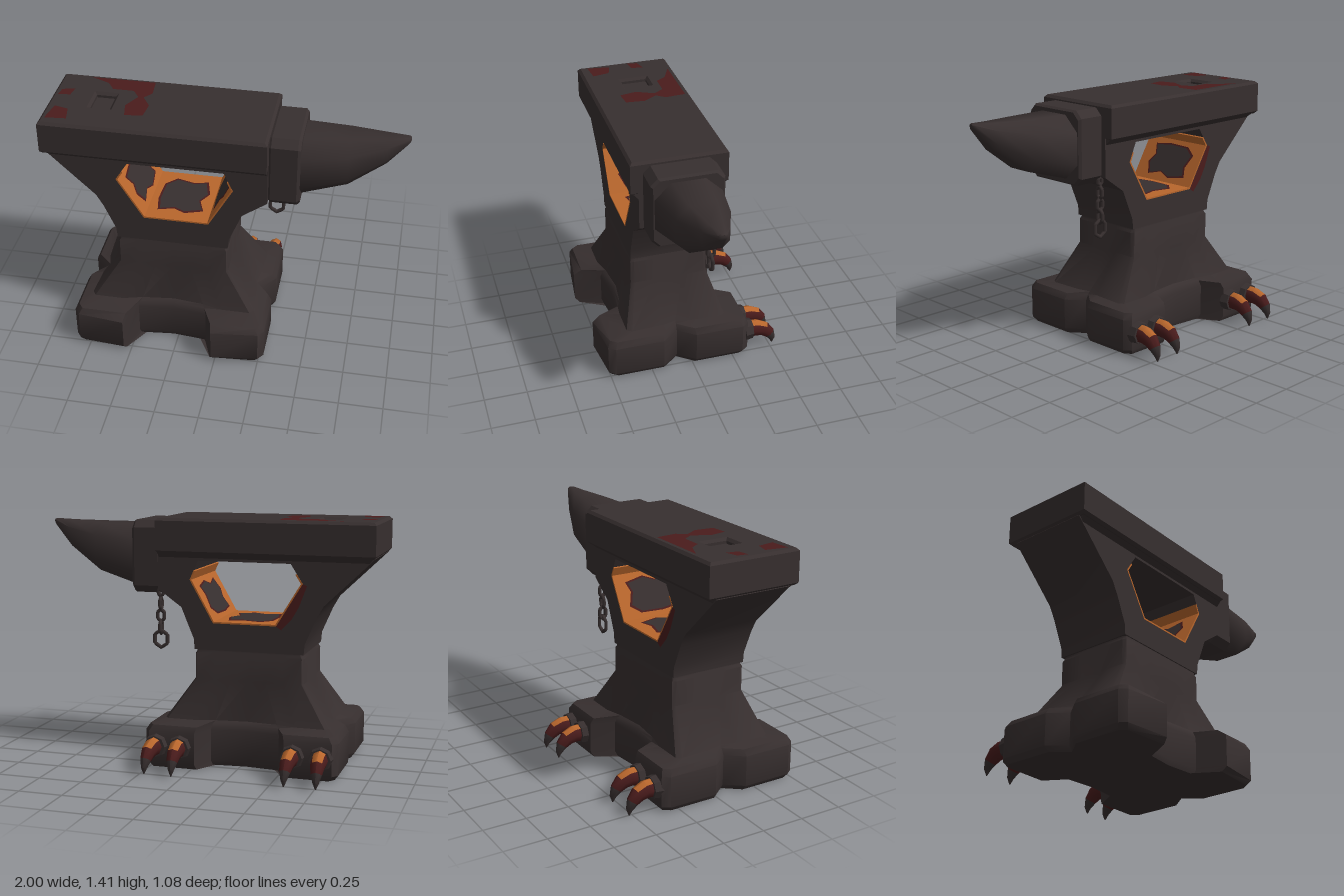
import * as THREE from 'three';
import { toCreasedNormals } from 'three/addons/utils/BufferGeometryUtils.js';

const mat = (name, color) => {
  const m = new THREE.MeshStandardMaterial({ color, side: THREE.DoubleSide });
  m.name = name;
  return m;
};
const V = (x, y, z) => new THREE.Vector3(x, y, z);

// Skin a list of equal-length rings, with both ends closed.
// pick(ringIndex, pointIndex) returns the material index of a quad.
function loft(rings, crease = 0.6, pick = () => 0) {
  const n = rings[0].length;
  const pos = rings.flat().flatMap(p => [p.x, p.y, p.z]);
  const buckets = [[], [], []];
  for (let i = 0; i < rings.length - 1; i++) {
    for (let j = 0; j < n; j++) {
      const k = (j + 1) % n, a = i * n + j, b = i * n + k;
      buckets[pick(i, j)].push(a, b, b + n, a, b + n, a + n);
    }
  }
  for (const end of [0, rings.length - 1]) {
    const c = V(0, 0, 0);
    rings[end].forEach(p => c.addScaledVector(p, 1 / n));
    const ci = pos.length / 3;
    pos.push(c.x, c.y, c.z);
    for (let j = 0; j < n; j++) {
      const a = end * n + j, b = end * n + (j + 1) % n;
      buckets[pick(Math.min(end, rings.length - 2), j)].push(ci, ...(end ? [a, b] : [b, a]));
    }
  }
  const g = new THREE.BufferGeometry();
  g.setAttribute('position', new THREE.Float32BufferAttribute(pos, 3));
  g.setIndex(buckets.flat());
  let start = 0;
  buckets.forEach((b, m) => {
    if (b.length) g.addGroup(start, b.length, m);
    start += b.length;
  });
  return toCreasedNormals(g, crease);
}

const shapeOf = pts => new THREE.Shape(pts.map(p => new THREE.Vector2(p[0], p[1])));
// Flat plate lying in the ground plane, outline given as (x, z)
const plate = pts => new THREE.ShapeGeometry(shapeOf(pts.map(([x, z]) => [x, -z]))).rotateX(-Math.PI / 2);

export function createModel() {
  const root = new THREE.Group();
  const iron = mat('dark iron', 0x372f2f);
  const stain = mat('dried red', 0x4a1c1c);
  const glow = mat('ember orange', 0xb8662c);
  const add = (name, geo, material, parent = root) => {
    const m = new THREE.Mesh(geo, material);
    m.name = name;
    parent.add(m);
    return m;
  };
  const CX = -0.28, CZ = 0.08;

  // Four-footed base: one quadrant outline mirrored, morphing up to a rectangle
  const foot = [[0.48, 0], [0.56, 0.1], [0.56, 0.39], [0.53, 0.43], [0.26, 0.43], [0.2, 0.3], [0, 0.28]];
  const shoulder = [[0.45, 0], [0.47, 0.08], [0.48, 0.27], [0.46, 0.3], [0.29, 0.3], [0.18, 0.27], [0, 0.25]];
  const neck = [[0.32, 0], [0.32, 0.08], [0.32, 0.21], [0.31, 0.23], [0.2, 0.23], [0.1, 0.23], [0, 0.23]];
  const planRing = (q, y, s = 1, spur = 0) => {
    const flip = (sx, st, list) => list.map(([x, t]) => [x * sx, t * st, x === 0.26 && st < 0 ? spur : 0]);
    const back = [...q].reverse();
    return [...flip(1, 1, q), ...flip(-1, 1, back.slice(1)), ...flip(-1, -1, q.slice(1)),
      ...flip(1, -1, back.slice(1, -1))].map(([x, t, e]) => V(CX + x * s, y, CZ - t * s + e));
  };
  add('footedBase', loft([
    planRing(foot, 0, 0.96, 0.02), planRing(foot, 0.03, 1, 0.03), planRing(foot, 0.21, 1, 0.03),
    planRing(foot, 0.245, 0.96), planRing(shoulder, 0.26), planRing(neck, 0.49),
    planRing(neck, 0.635), planRing(neck, 0.65, 0.97), planRing(neck, 0.67, 0.97),
  ], 0.7), iron);

  // Waist with a hexagonal window through it
  const hole = [[-0.52, 1.17], [-0.59, 1.06], [-0.44, 0.815], [-0.07, 0.815], [0.07, 1.06], [0.02, 1.17]];
  const waist = shapeOf([[-0.99, 1.21], [-0.71, 0.94], [-0.67, 0.87], [-0.605, 0.72], [-0.6, 0.66], [0.04, 0.66],
    [0.045, 0.72], [0.12, 0.9], [0.26, 1.0], [0.26, 1.23], [-0.98, 1.23]]);
  waist.holes.push(new THREE.Path(hole.map(p => new THREE.Vector2(...p))));
  const waistGeo = new THREE.ExtrudeGeometry(waist, { depth: 0.46, bevelEnabled: false });
  add('waist', toCreasedNormals(waistGeo.translate(0, 0, -0.15), 0.5), iron);

  // Glowing lining of the window, with cooled patches
  const blob = (w, d, s) => [[-0.4, -0.25], [-0.22, -0.4], [0.1, -0.33], [0.33, -0.38], [0.42, -0.1], [0.3, 0.08],
    [0.4, 0.3], [0.1, 0.38], [-0.1, 0.3], [-0.36, 0.36], [-0.42, 0.1]].map(([x, z]) => [x * w * s, z * d * s]);
  const upperEdge = (a, b) => [a[0] + (b[0] - a[0]) * 0.5, a[1] + (b[1] - a[1]) * 0.5];
  [[upperEdge(hole[0], hole[1]), hole[1], false], [hole[1], hole[2], true], [hole[2], hole[3], true],
    [hole[3], hole[4], true], [hole[4], upperEdge(hole[4], hole[5]), false]].forEach(([a, b, patched]) => {
    const len = Math.hypot(b[0] - a[0], b[1] - a[1]);
    const wall = new THREE.Group();
    wall.name = 'windowLining';
    wall.position.set((a[0] + b[0]) / 2, (a[1] + b[1]) / 2, CZ);
    wall.rotation.z = Math.atan2(b[1] - a[1], b[0] - a[0]);
    add('emberLining', new THREE.BoxGeometry(len, 0.009, 0.462).translate(0, 0.0045, 0), glow, wall);
    if (patched) {
      add('patchRim', plate(blob(len, 0.46, 0.92)).translate(0, 0.0105, 0), stain, wall);
      add('cooledPatch', plate(blob(len, 0.46, 0.84)).translate(0, 0.0125, 0), iron, wall);
    }
    root.add(wall);
  });
  const scorch = shapeOf([[-0.44, 0.815], [-0.59, 1.06], [-0.615, 1.05], [-0.57, 0.93], [-0.53, 0.86], [-0.47, 0.795]]);
  add('windowStain', new THREE.ShapeGeometry(scorch).translate(0, 0, -0.153), stain);

  // Face block with a square socket, and a tapered strip beneath it
  const rect = (x0, x1, z0, z1) => [[x0, z0], [x1, z0], [x1, z1], [x0, z1]];
  const bev = 0.015;
  const face = shapeOf(rect(-1 + bev, 0.26 - bev, -0.355 + bev, 0.2 - bev));
  face.holes.push(new THREE.Path(rect(-0.775, -0.635, -0.155, 0.025).map(p => new THREE.Vector2(...p))));
  const faceGeo = new THREE.ExtrudeGeometry(face, {
    depth: 0.2 - 2 * bev, bevelSize: bev, bevelThickness: bev, bevelSegments: 1,
  });
  add('faceBlock', faceGeo.rotateX(-Math.PI / 2).translate(0, 1.21 + bev, 0), iron);
  add('socketFloor', new THREE.BoxGeometry(0.2, 0.02, 0.24).translate(-0.705, 1.37, 0.065), iron);
  const level = (y, x0, x1, z0, z1) => [V(x0, y, z1), V(x1, y, z1), V(x1, y, z0), V(x0, y, z0)];
  add('blockTaper', loft([level(1.185, -0.96, 0.255, -0.15, 0.31), level(1.225, -0.99, 0.255, -0.19, 0.345)]), iron);

  // Stains on the face
  [
    [[-0.83, -0.17], [-0.46, -0.17], [-0.45, -0.05], [-0.49, 0], [-0.44, 0.08], [-0.45, 0.19], [-0.55, 0.2],
      [-0.57, 0.1], [-0.52, 0], [-0.56, -0.06], [-0.68, -0.06], [-0.72, -0.12]],
    [[-0.97, 0.3], [-0.85, 0.29], [-0.87, 0.19], [-0.95, 0.17]],
    [[-0.97, 0.05], [-0.9, 0.04], [-0.89, -0.03], [-0.96, -0.01]],
  ].forEach(pts => add('faceStain', plate(pts).translate(0, 1.413, 0), stain));

  // Horn collar and horn: octagonal sections along x
  const octagon = (x, top, bottom, hz, cut) => {
    const cy = (top + bottom) / 2, hy = (top - bottom) / 2, a = hz * (1 - cut), b = hy * (1 - cut);
    return [[hz, -b], [hz, b], [a, hy], [-a, hy], [-hz, b], [-hz, -b], [-a, -hy], [a, -hy]]
      .map(([r, u]) => V(x, cy + u, CZ - r));
  };
  add('hornCollar', loft([
    octagon(0.25, 1.38, 0.98, 0.195, 0.2), octagon(0.27, 1.39, 0.97, 0.207, 0.2),
    octagon(0.415, 1.39, 0.97, 0.207, 0.2), octagon(0.43, 1.38, 0.98, 0.195, 0.2),
  ], 0.3), iron);
  add('horn', loft([
    octagon(0.42, 1.36, 1.0, 0.19, 0.5), octagon(0.68, 1.362, 1.078, 0.148, 0.5),
    octagon(0.88, 1.367, 1.215, 0.075, 0.5), octagon(0.99, 1.374, 1.335, 0.025, 0.5),
    octagon(1.0, 1.37, 1.35, 0.012, 0.5),
  ], 0.9), iron);

  // Hanging chain, links alternating by a quarter turn
  [[0.975, 0.05, 0.065, 0], [0.91, 0.058, 0.095, 1], [0.84, 0.062, 0.095, 0], [0.772, 0.062, 0.1, 1],
    [0.702, 0.1, 0.125, 0]].forEach(([y, w, h, turn]) => {
    const tube = 0.011;
    const link = add('chainLink', new THREE.TorusGeometry(0.5, 0.5, 6, 6), iron);
    // Hexagonal loop stretched to the link's own width and height
    const hex = new THREE.CurvePath();
    const pts = [...Array(7)].map((_, i) => V(
      Math.sin(i * Math.PI / 3) * (w / 2 - tube) / 0.866, Math.cos(i * Math.PI / 3) * (h / 2 - tube), 0));
    for (let i = 0; i < 6; i++) hex.add(new THREE.LineCurve3(pts[i], pts[i + 1]));
    link.geometry = new THREE.TubeGeometry(hex, 24, tube, 6, true);
    link.position.set(0.26, y, -0.105);
    link.rotation.y = turn * Math.PI / 2;
  });

  // Curved claws on the back feet: ember top, red sides, dark tip
  const spine = [[-0.36, 0.13, 0.056], [-0.42, 0.13, 0.053], [-0.465, 0.115, 0.047], [-0.5, 0.08, 0.036],
    [-0.52, 0.04, 0.02], [-0.522, 0.005, 0.003]];
  const clawRings = spine.map(([z, y, r], i) => {
    const p = spine[Math.max(i - 1, 0)], q = spine[Math.min(i + 1, spine.length - 1)];
    const t = V(0, q[1] - p[1], q[0] - p[0]).normalize();
    const up = t.clone().cross(V(-1, 0, 0));
    return [...Array(8)].map((_, j) => {
      const a = j * Math.PI / 4;
      return V(-Math.cos(a) * r * 0.85, y, z).addScaledVector(up, Math.sin(a) * r);
    });
  });
  const clawGeo = loft(clawRings, 0.9, (i, j) => (i > 2 ? 2 : i < 2 && (j === 1 || j === 2) ? 1 : 0));
  const cuffGeo = new THREE.CylinderGeometry(0.062, 0.07, 0.05, 8).rotateX(-Math.PI / 2);
  [[-0.75, 0.06], [-0.59, -0.04], [0.065, 0.04], [0.205, -0.08]].forEach(([x, yaw]) => {
    const claw = new THREE.Group();
    claw.name = 'claw';
    claw.position.x = x;
    add('clawCuff', toCreasedNormals(cuffGeo, 0.5), iron, claw).position.set(0, 0.13, -0.362);
    const nail = add('clawNail', clawGeo, [stain, glow, iron], claw);
    nail.position.set(-0.36 * -Math.sin(yaw), 0, -0.36 * (1 - Math.cos(yaw)));
    nail.rotation.y = yaw;
    root.add(claw);
  });

  return root;
}
